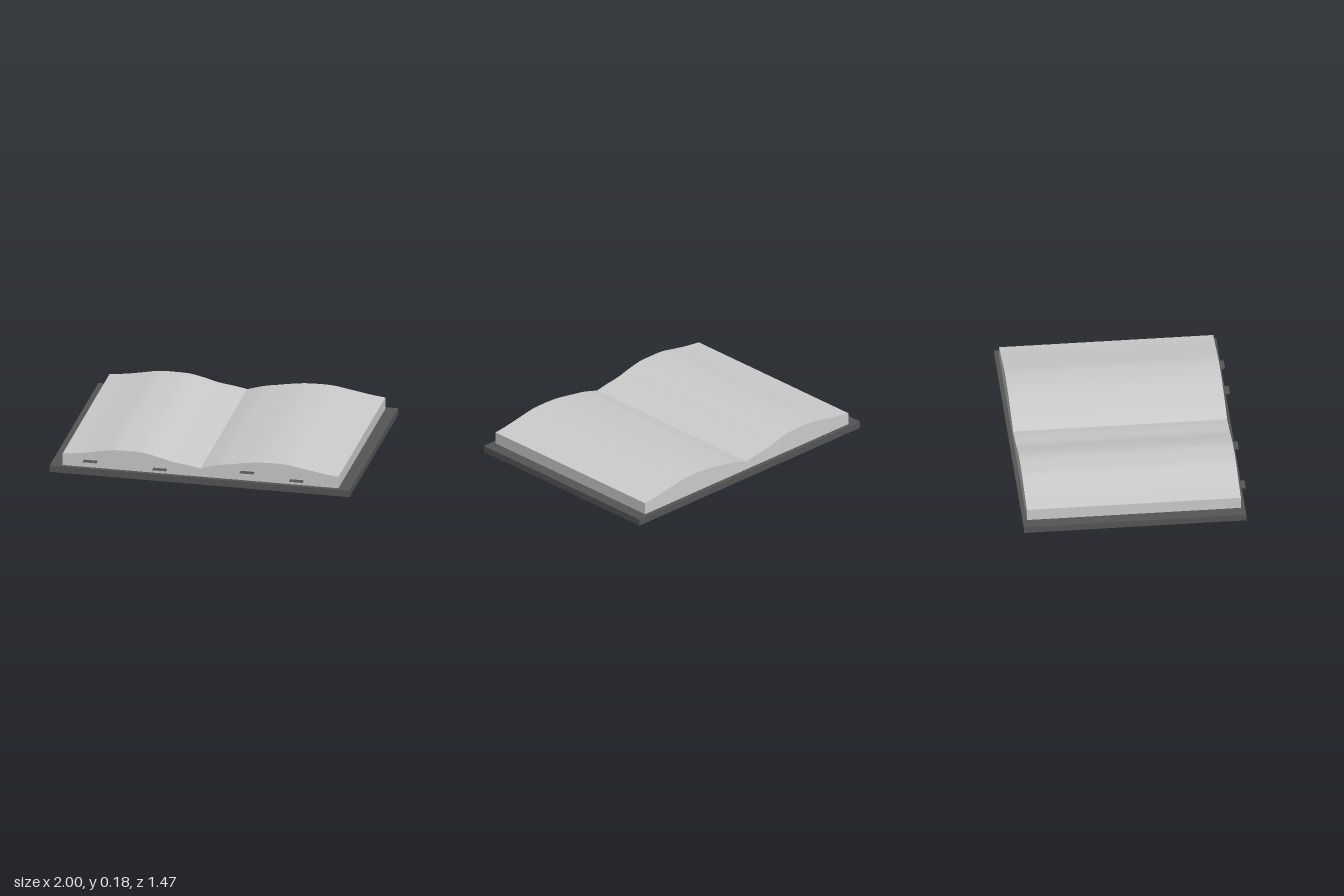
import * as THREE from 'three';
import { toCreasedNormals } from 'three/addons/utils/BufferGeometryUtils.js';

const COVER_TOP = 0.045;
const paper = new THREE.MeshStandardMaterial({ color: 0xcccccc });
const dark = new THREE.MeshStandardMaterial({ color: 0x555555 });
const ribbon = new THREE.MeshStandardMaterial({ color: 0x555555, side: THREE.DoubleSide });

// Page surface heights from the outer edge (or gutter) across each half
const LEFT_HALF = [[0, 0.102], [0.08, 0.117], [0.19, 0.133], [0.29, 0.159], [0.385, 0.178], [0.48, 0.181], [0.59, 0.178], [0.7, 0.158], [0.8, 0.14], [0.92, 0.125]];
const RIGHT_HALF = [[0, 0.102], [0.11, 0.134], [0.2, 0.15], [0.3, 0.167], [0.39, 0.178], [0.48, 0.181], [0.58, 0.178], [0.7, 0.158], [0.83, 0.136], [0.92, 0.125]];

function curvePoints(half, sign) {
  const pts = half.map(([x, y]) => new THREE.Vector2(x * sign, y));
  return new THREE.SplineCurve(pts).getPoints(36);
}

export function createModel() {
  const book = new THREE.Group();
  book.name = 'openBook';

  function add(name, geometry, material, x = 0, y = 0, z = 0) {
    const mesh = new THREE.Mesh(geometry, material);
    mesh.name = name;
    mesh.position.set(x, y, z);
    book.add(mesh);
    return mesh;
  }

  // Flat cover board
  add('cover', new THREE.BoxGeometry(2, COVER_TOP, 1.455), dark, 0, COVER_TOP / 2, -0.0105);

  // Page block: two swelling halves meeting at the gutter
  const right = curvePoints(RIGHT_HALF, 1).reverse();
  const left = curvePoints(LEFT_HALF, -1).slice(1);
  const profile = new THREE.Shape([
    new THREE.Vector2(-0.92, COVER_TOP),
    new THREE.Vector2(0.92, COVER_TOP),
    ...right,
    ...left,
  ]);
  const pages = new THREE.ExtrudeGeometry(profile, { depth: 1.4, bevelEnabled: false });
  add('pages', toCreasedNormals(pages, 0.25), paper, 0, 0, -0.71);

  // Thin bookmark tabs sticking out of the front edge of the pages
  const tabs = [[-0.73, 0.095], [-0.267, 0.08], [0.315, 0.11], [0.645, 0.08]];
  for (const [x, y] of tabs) {
    const tab = new THREE.PlaneGeometry(0.093, 0.055).rotateX(-Math.PI / 2);
    add('bookmarkTab', tab, ribbon, x, y, 0.7085);
  }

  return book;
}
